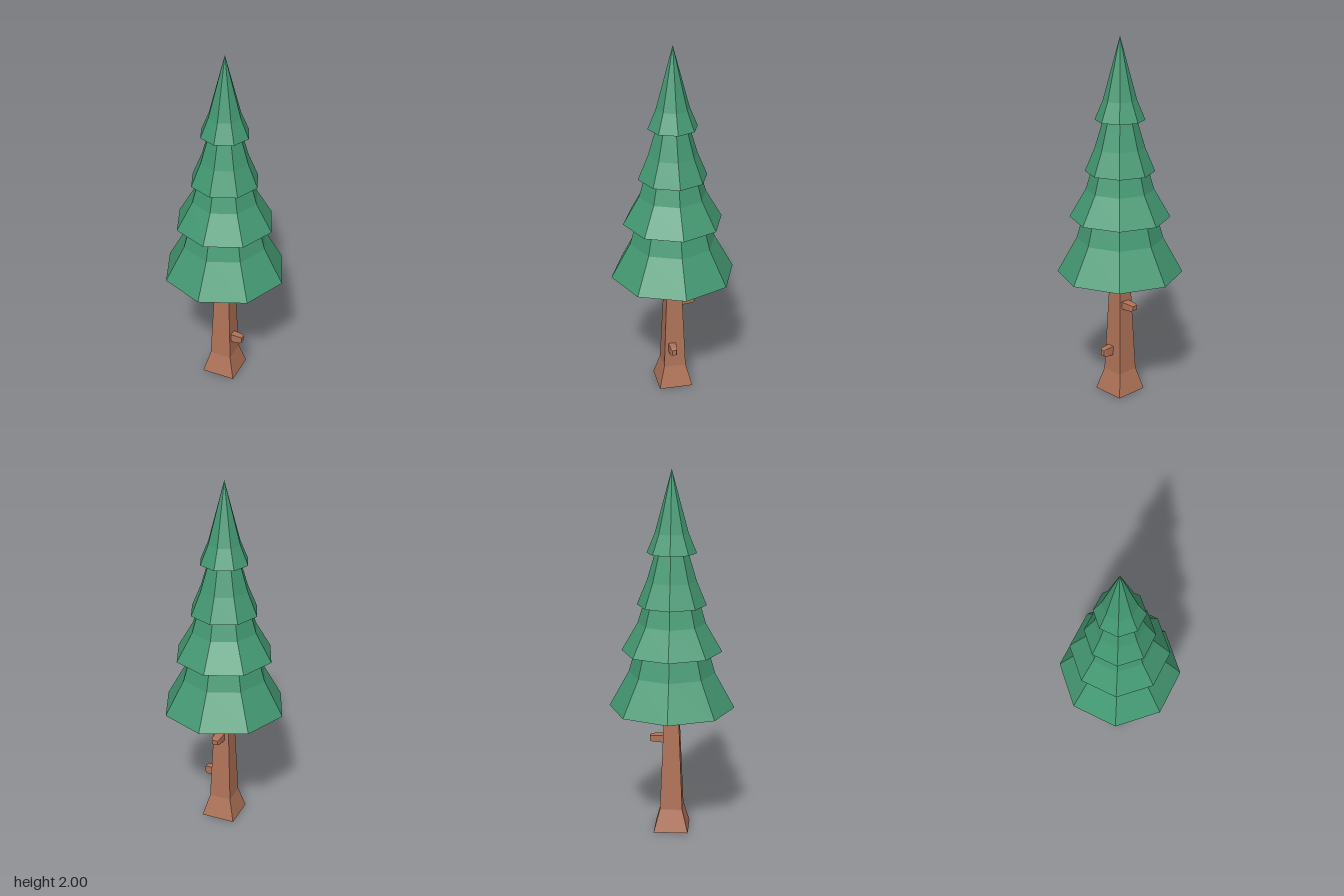
import * as THREE from 'three';

const green = new THREE.MeshStandardMaterial({ color: 0x449973, flatShading: true });
const brown = new THREE.MeshStandardMaterial({ color: 0xb07358, flatShading: true });

// Faceted solid turned around y from [radius, height] pairs, bottom to top
function turned(name, profile, sides, material, phiStart = 0) {
  const points = profile.map(([r, y]) => new THREE.Vector2(r, y));
  const mesh = new THREE.Mesh(new THREE.LatheGeometry(points, sides, phiStart), material);
  mesh.name = name;
  return mesh;
}

// Four-sided solid given by half-widths, with its faces square to the axes
function squareTurned(name, profile, material) {
  const corners = profile.map(([h, y]) => [h * Math.SQRT2, y]);
  return turned(name, corners, 4, material, Math.PI / 4);
}

// Short cut-off branch pointing along +x, then swung around the trunk
function branchStub(name, position, height, width, length, swing) {
  const stub = squareTurned(name, [[0, 0], [1, 0], [0.84, length * 0.84], [0.6, length], [0, length]], brown);
  stub.scale.set(height / 2, 1, width / 2);
  stub.rotation.z = -Math.PI / 2;
  const pivot = new THREE.Group();
  pivot.name = name + 'Pivot';
  pivot.position.set(...position);
  pivot.rotation.y = swing;
  pivot.add(stub);
  return pivot;
}

export function createModel() {
  const tree = new THREE.Group();
  tree.name = 'pineTree';

  // Square trunk with a flared foot
  tree.add(squareTurned('trunk', [[0, 0], [0.095, 0], [0.062, 0.125], [0.037, 0.74]], brown));

  // Branch stubs on the left and the back
  tree.add(branchStub('leftBranchStub', [0.045, 0.25, 0.016], 0.053, 0.042, 0.075, 0));
  tree.add(branchStub('backBranchStub', [0.005, 0.526, -0.036], 0.042, 0.052, 0.085, Math.PI / 2));

  // Eight-sided foliage tiers with flat undersides, each bent inward toward the top
  const tiers = [
    [[0.343, 0.71], [0.236, 0.905], [0.2, 1.03]],
    [[0.273, 1.025], [0.184, 1.18], [0.153, 1.285]],
    [[0.188, 1.28], [0.134, 1.41], [0.088, 1.565]],
    [[0.134, 1.56], [0.09, 1.665], [0, 2]],
  ];
  tiers.forEach((profile, i) => {
    tree.add(turned('foliageTier' + (i + 1), [[0, profile[0][1]], ...profile], 8, green));
  });

  return tree;
}
